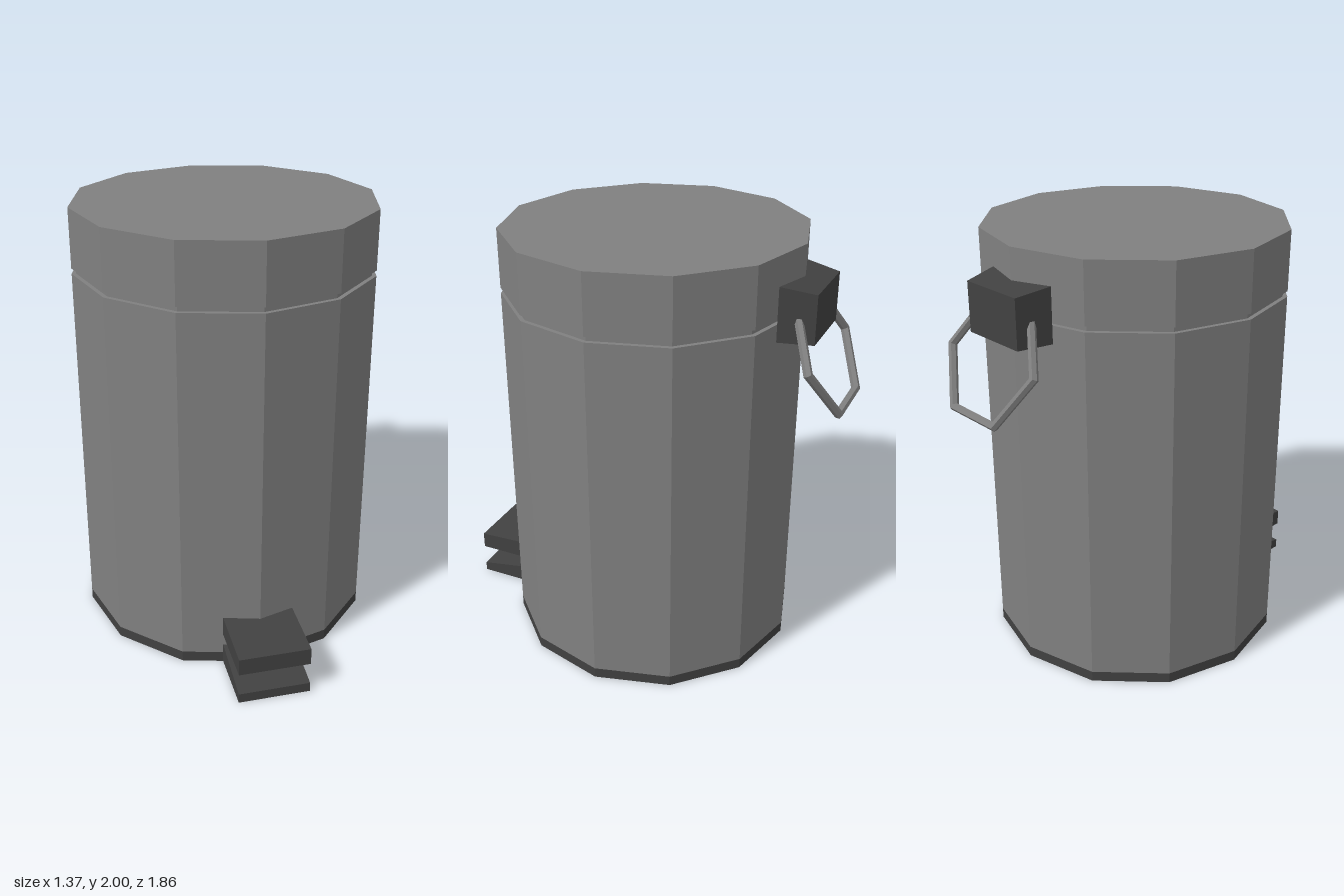
import * as THREE from 'three';

const SIDES = 12;
const R = 0.687;

function flat(name, color) {
  const m = new THREE.MeshStandardMaterial({ color, flatShading: true, side: THREE.DoubleSide });
  m.name = name;
  return m;
}

// Open-ended shell between two rectangles {w: half width, y0, y1, z}.
// a is the closed outer end, b the open end that meets the drum.
function shell(a, b, closedBottom) {
  const corners = ({ w, y0, y1, z }) => [[-w, y0, z], [w, y0, z], [w, y1, z], [-w, y1, z]];
  const pos = [...corners(a), ...corners(b)].flat();
  const quads = [[0, 1, 2, 3], [1, 5, 6, 2], [3, 2, 6, 7], [4, 0, 3, 7]];
  if (closedBottom) quads.push([4, 5, 1, 0]);
  const flip = a.z < b.z; // keep faces pointing outwards at the back
  const index = quads.flatMap(([p, q, r, s]) => (flip ? [p, r, q, p, s, r] : [p, q, r, p, r, s]));
  const g = new THREE.BufferGeometry();
  g.setAttribute('position', new THREE.Float32BufferAttribute(pos, 3));
  g.setIndex(index);
  g.computeVertexNormals();
  return g;
}

export function createModel() {
  const model = new THREE.Group();
  model.name = 'pedalBin';
  const steel = flat('steelGrey', 0x808080);
  const plastic = flat('darkPlastic', 0x414141);

  const add = (name, geometry, material) => {
    const mesh = new THREE.Mesh(geometry, material);
    mesh.name = name;
    model.add(mesh);
    return mesh;
  };
  const lathe = (pts) => new THREE.LatheGeometry(pts.map(([x, y]) => new THREE.Vector2(x, y)), SIDES);

  // Twelve-sided drum, open underneath, with the recessed neck below the lid
  const drum = [
    add('baseRing', lathe([[R, 0], [R, 0.05]]), plastic),
    add('body', lathe([[R, 0.05], [R, 1.705], [0.667, 1.705], [0.667, 1.73]]), steel),
    add('lid', lathe([[0.667, 1.73], [R, 1.73], [R, 2], [0, 2]]), steel),
  ];
  drum.forEach((m) => { m.position.z = -0.004; });

  // Foot pedal and its floor plate
  add('pedal', shell(
    { w: 0.163, y0: 0.15, y1: 0.23, z: 0.93 },
    { w: 0.163, y0: 0.15, y1: 0.243, z: 0.637 }, true), plastic);
  add('pedalFoot', shell(
    { w: 0.163, y0: 0, y1: 0.045, z: 0.93 },
    { w: 0.163, y0: 0, y1: 0.095, z: 0.637 }, true), plastic);

  // Hinge cover at the back
  add('hingeCover', shell(
    { w: 0.16, y0: 1.625, y1: 1.845, z: -0.795 },
    { w: 0.192, y0: 1.625, y1: 1.868, z: -0.64 }, false), plastic);

  // Six-sided carrying ring hanging from the hinge cover
  const handle = add('carryRing', new THREE.TorusGeometry(0.28, 0.02, 6, 6), steel);
  handle.position.set(0, 1.545, -0.81);
  handle.rotation.x = 0.45;

  return model;
}
